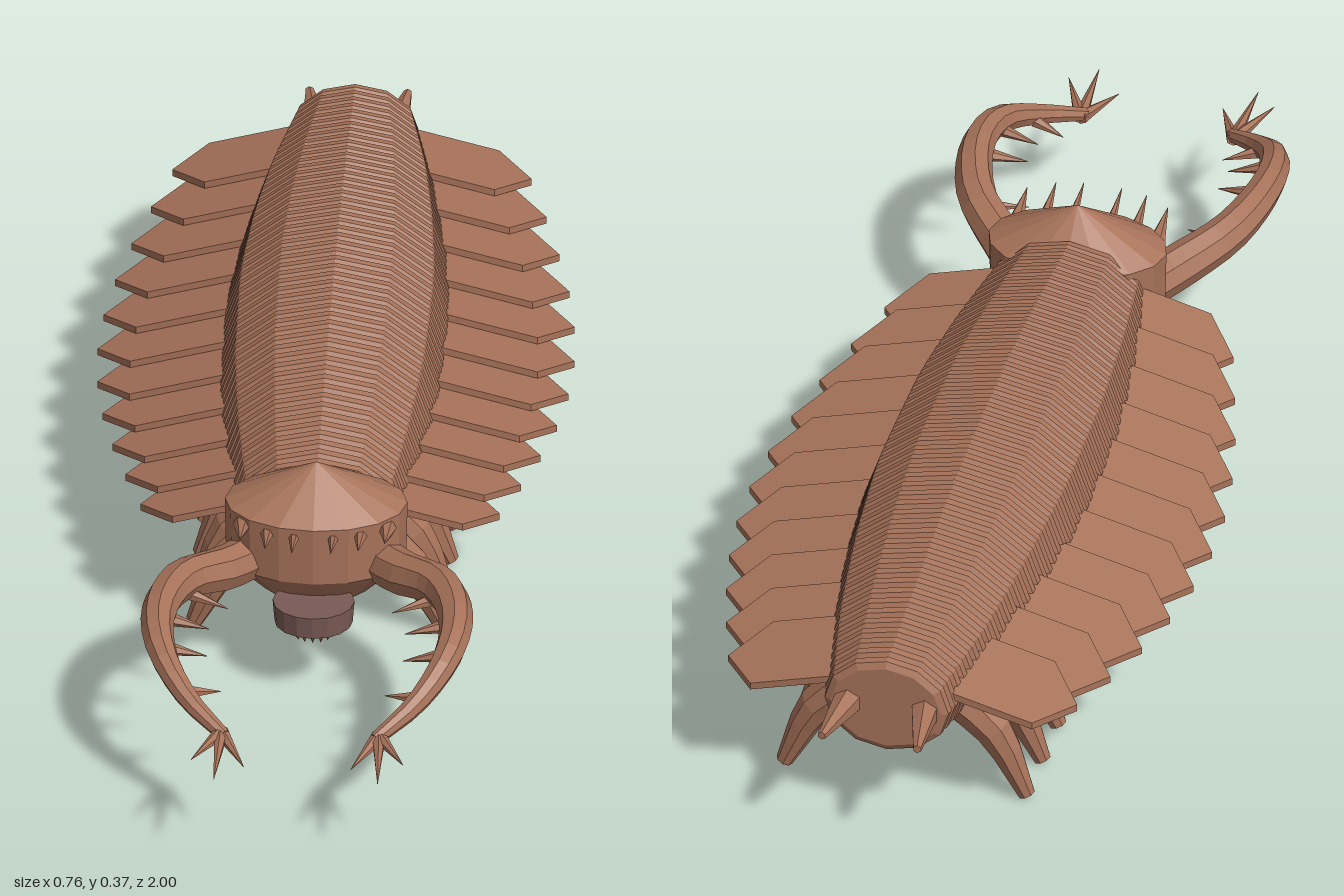
import * as THREE from 'three';

const shell = new THREE.MeshStandardMaterial({ color: 0xa8735a });
shell.name = 'brown shell';
const dark = new THREE.MeshStandardMaterial({ color: 0x7a5a55 });
dark.name = 'dark mouth';

const V = (x, y, z) => new THREE.Vector3(x, y, z);

// faceted skin over rings of points, closed at both ends
function loft(rings) {
  const n = rings[0].length, pos = [], idx = [];
  rings.forEach(r => r.forEach(p => pos.push(p.x, p.y, p.z)));
  for (let i = 0; i < rings.length - 1; i++) {
    for (let j = 0; j < n; j++) {
      const k = (j + 1) % n, a = i * n + j, d = i * n + k;
      idx.push(a, d, a + n, d, d + n, a + n);
    }
  }
  const last = (rings.length - 1) * n;
  for (let j = 1; j < n - 1; j++) idx.push(0, j + 1, j, last, last + j, last + j + 1);
  const g = new THREE.BufferGeometry();
  g.setAttribute('position', new THREE.Float32BufferAttribute(pos, 3));
  g.setIndex(idx);
  return flat(g);
}

function flat(g) {
  const f = g.index ? g.toNonIndexed() : g;
  f.computeVertexNormals();
  return f;
}

// tapered limb along a curve, radii spread evenly over its length
function limb(points, radii, sides = 8, steps = 12) {
  const curve = points.length === 2
    ? new THREE.LineCurve3(points[0], points[1]) : new THREE.CatmullRomCurve3(points);
  const fr = curve.computeFrenetFrames(steps), rings = [];
  for (let i = 0; i <= steps; i++) {
    const u = i / steps, f = u * (radii.length - 1);
    const k = Math.min(Math.floor(f), radii.length - 2);
    const r = THREE.MathUtils.lerp(radii[k], radii[k + 1], f - k), c = curve.getPointAt(u);
    rings.push(Array.from({ length: sides }, (_, j) => {
      const a = j / sides * Math.PI * 2;
      return c.clone().addScaledVector(fr.normals[i], r * Math.cos(a))
        .addScaledVector(fr.binormals[i], r * Math.sin(a));
    }));
  }
  return loft(rings);
}

const spike = (from, to, r, tip = 0.0005) => limb([from, to], [r, tip], 6, 1);

export function createModel() {
  const model = new THREE.Group();
  const add = (name, geo, mat = shell, parent = model) => {
    const m = new THREE.Mesh(geo, mat);
    m.name = name;
    parent.add(m);
    return m;
  };

  // ringed trunk: half width, half height, centre height along z
  const outline = new THREE.CatmullRomCurve3([
    V(0.1, 0.083, 0.228), V(0.14, 0.108, 0.231), V(0.165, 0.128, 0.237), V(0.177, 0.137, 0.24),
    V(0.174, 0.136, 0.24), V(0.157, 0.124, 0.235), V(0.13, 0.108, 0.228)]);
  const rings = [], count = 50, back = -0.895, step = 1.195 / count;
  for (let i = 0; i < count; i++) {
    for (const [dz, groove] of [[0, 0.01], [0.25, 0], [0.75, 0]]) {
      const p = outline.getPoint((i + dz) / count);
      rings.push(Array.from({ length: 12 }, (_, j) => {
        const a = j / 12 * Math.PI * 2;
        return V((p.x - groove) * Math.cos(a), p.z + (p.y - groove) * Math.sin(a), back + (i + dz) * step);
      }));
    }
  }
  add('trunk', loft(rings));

  // head: cone roof, upright wall, tapered underside
  const profile = [[0, 0.115], [0.085, 0.145], [0.143, 0.2], [0.145, 0.3], [0, 0.371]];
  const head = add('head', flat(new THREE.LatheGeometry(profile.map(p => new THREE.Vector2(...p)), 16)));
  head.scale.z = 0.66;
  head.position.z = 0.347;

  // mouth drum with a circle of teeth below
  const mouth = new THREE.Group();
  mouth.name = 'mouth';
  mouth.position.set(0, 0, 0.43);
  model.add(mouth);
  const drum = add('mouthDrum', flat(new THREE.CylinderGeometry(0.065, 0.062, 0.038, 16)), dark, mouth);
  drum.position.y = 0.145;
  drum.scale.z = 0.88;
  for (let i = 0; i < 16; i++) {
    const a = i / 16 * Math.PI * 2, c = Math.cos(a), s = Math.sin(a);
    add('tooth', spike(V(0.04 * c, 0.128, 0.036 * s), V(0.032 * c, 0.104, 0.03 * s), 0.008), shell, mouth);
  }

  for (const s of [1, -1]) {
    const side = new THREE.Group();
    side.name = s > 0 ? 'leftSide' : 'rightSide';
    model.add(side);
    const P = (x, y, z) => V(s * x, y, z);

    // head spines
    [[0.031, 0.43, 0.009], [0.074, 0.42, 0.011], [0.115, 0.395, 0.015]].forEach(([x, z, r]) =>
      add('headSpine', spike(P(x, 0.281, z), P(x, 0.301, z + 0.08), r), shell, side));

    // grasping arm with inner spines and three claws
    add('graspingArm', limb([P(0.09, 0.21, 0.36), P(0.14, 0.22, 0.43), P(0.205, 0.245, 0.51),
      P(0.236, 0.257, 0.63), P(0.225, 0.245, 0.73), P(0.18, 0.21, 0.81), P(0.12, 0.18, 0.87)],
    [0.037, 0.036, 0.032, 0.028, 0.024, 0.018, 0.011], 8, 18), shell, side);
    [[0.19, 0.225, 0.52, 0.13, 0.215, 0.545], [0.215, 0.245, 0.63, 0.155, 0.235, 0.64],
      [0.215, 0.24, 0.71, 0.155, 0.225, 0.705], [0.18, 0.21, 0.79, 0.13, 0.2, 0.77]].forEach(q =>
      add('armSpine', spike(P(q[0], q[1], q[2]), P(q[3], q[4], q[5]), 0.011), shell, side));
    [[0.13, 0.178, 1.0], [0.085, 0.172, 0.95], [0.168, 0.186, 0.955]].forEach(q =>
      add('claw', spike(P(0.125, 0.18, 0.86), P(...q), 0.012), shell, side));

    for (let i = 0; i < 11; i++) {
      // overlapping swimming flap, pointed at the outer edge
      const z = 0.225 - i * 0.101;
      const reach = 0.285 + 0.093 * Math.sin(Math.PI * i / 10);
      const top = [[0.1, 0.075], [reach - 0.055, 0.075], [reach, 0], [reach - 0.055, -0.075], [0.1, -0.075]];
      const layer = dy => top.map(([x, dz]) =>
        P(x, 0.25 - 0.27 * (x - 0.13) + dz * 0.13 + dy, z + dz));
      const layers = [layer(-0.012), layer(0)];
      if (s < 0) layers.forEach(l => l.reverse());
      add('flap', loft(layers), shell, side);

      // stubby walking leg
      const lz = 0.25 - i * 0.1015;
      add('leg', limb([P(0.08, 0.185, lz), P(0.142, 0.128, lz), P(0.198, 0.01, lz)],
        [0.036, 0.033, 0.024, 0.014], 8, 5), shell, side);
    }

    // tail spine
    add('tailSpine', spike(P(0.06, 0.228, -0.87), P(0.078, 0.23, -1.0), 0.027, 0.007), shell, side);
  }
  return model;
}
